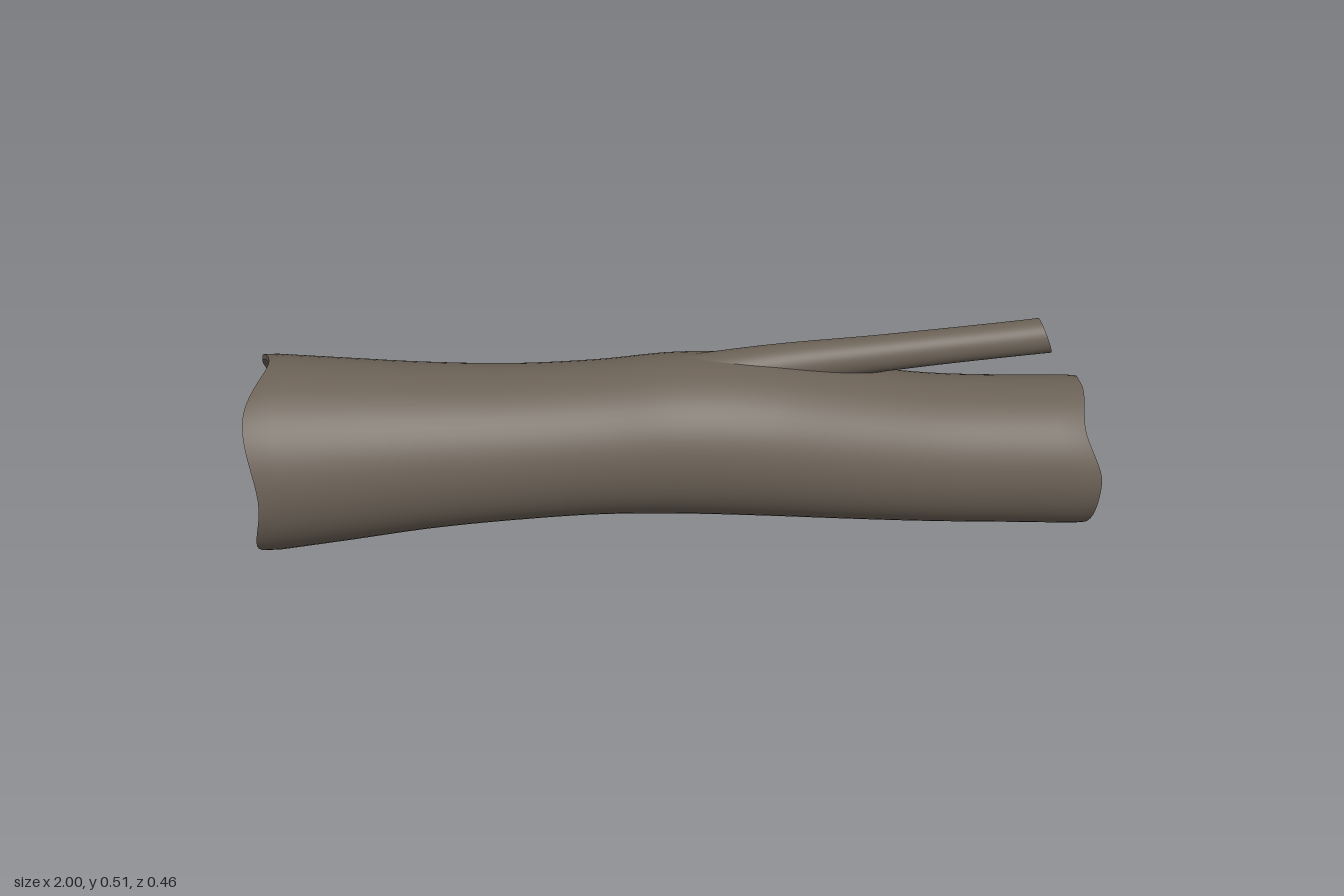
import * as THREE from 'three';

const SIDES = 64;
const bark = new THREE.MeshStandardMaterial({ color: 0x6b6156 });

// Lofted surface: point(i, a) gives ring i at angle a, measured from +y towards +z
function loft(name, rows, point, inward = false) {
  const pos = [], index = [];
  for (let i = 0; i <= rows; i++) {
    for (let j = 0; j < SIDES; j++) pos.push(...point(i, (j / SIDES) * Math.PI * 2));
  }
  for (let i = 0; i < rows; i++) {
    for (let j = 0; j < SIDES; j++) {
      const k = (j + 1) % SIDES;
      const a = i * SIDES + j, b = i * SIDES + k, c = a + SIDES, d = b + SIDES;
      if (inward) index.push(a, c, b, b, c, d);
      else index.push(a, b, c, b, d, c);
    }
  }
  const geo = new THREE.BufferGeometry();
  geo.setAttribute('position', new THREE.Float32BufferAttribute(pos, 3));
  geo.setIndex(index);
  geo.computeVertexNormals();
  const mesh = new THREE.Mesh(geo, bark);
  mesh.name = name;
  return mesh;
}

const ring = (x, y, z, r, a) => [x, y + r * Math.cos(a), z + r * Math.sin(a)];

// Log outline: top and bottom height every 0.2 from x = -1 to x = 1
const top = [0.485, 0.468, 0.452, 0.443, 0.447, 0.46, 0.448, 0.415, 0.386, 0.373, 0.367];
const bottom = [0.012, 0.033, 0.055, 0.068, 0.075, 0.07, 0.056, 0.038, 0.022, 0.011, 0];
const outline = new THREE.CatmullRomCurve3(
  top.map((t, i) => new THREE.Vector3(i * 0.2 - 1, (t + bottom[i]) / 2, (t - bottom[i]) / 2)),
  false, 'catmullrom'
);
function section(x) {
  const p = outline.getPoint(THREE.MathUtils.clamp((x + 1) / 2, 0, 1));
  return { y: p.y, r: p.z };
}

// Ragged broken ends: x of the rim at eight angles, eased in between
const leftRim = [-0.955, -0.995, -0.97, -1, -0.915, -0.99, -0.97, -1];
const rightRim = [0.965, 0.945, 0.985, 0.985, 1, 0.985, 1, 0.985];
function rimX(rim, a) {
  const t = (a / (Math.PI * 2)) * 8, i = Math.floor(t) % 8;
  return THREE.MathUtils.lerp(rim[i], rim[(i + 1) % 8], THREE.MathUtils.smoothstep(t - Math.floor(t), 0, 1));
}

export function createModel() {
  const model = new THREE.Group();
  model.name = 'hollowLog';

  // Trunk surface
  const rows = 60;
  model.add(loft('trunk', rows, (i, a) => {
    const x = THREE.MathUtils.lerp(rimX(leftRim, a), rimX(rightRim, a), i / rows);
    const s = section(x);
    const round = i === 0 || i === rows ? 0.003 : 0;
    return ring(x, s.y, 0, s.r - round, a);
  }));

  // Each end: thin rim, tapering hollow and the flat wall that closes it
  const ends = [
    { side: 'left', rim: leftRim, x: -0.78, y: 0.25, r: 0.19 },
    { side: 'right', rim: rightRim, x: 0.78, y: 0.172, r: 0.148 },
  ];
  for (const e of ends) {
    const isLeft = e.side === 'left';
    const lip = (a, inset) => {
      const x = rimX(e.rim, a), s = section(x);
      return ring(x, s.y, 0, s.r - inset, a);
    };
    model.add(loft(e.side + 'Rim', 1, (i, a) => lip(a, i ? 0.015 : 0.003), isLeft));

    const depth = 10;
    model.add(loft(e.side + 'Hollow', depth, (i, a) => {
      const p = lip(a, 0.015), q = ring(e.x, e.y, 0, e.r, a);
      return p.map((v, k) => THREE.MathUtils.lerp(v, q[k], i / depth));
    }, isLeft));

    const wall = new THREE.Mesh(new THREE.CircleGeometry(e.r, SIDES), bark);
    wall.name = e.side + 'HollowEnd';
    wall.rotation.y = isLeft ? -Math.PI / 2 : Math.PI / 2;
    wall.position.set(e.x, e.y, 0);
    model.add(wall);
  }

  // Branch: rises slowly from the trunk, its tip cut at a slant
  const path = new THREE.CatmullRomCurve3([[0, 0.39, -0.012], [0.22, 0.424, -0.023],
    [0.5, 0.445, -0.037], [0.88, 0.469, -0.055]].map((p) => new THREE.Vector3(...p)));
  const steps = 24;
  const branchPoint = (t, a, scale = 1) => {
    const p = path.getPoint(t);
    const r = (0.035 + 0.033 * (1 - t) ** 2 + 0.007 * t) * scale;
    return ring(p.x - 0.4 * r * t * Math.cos(a), p.y, p.z, r, a);
  };
  model.add(loft('branch', steps, (i, a) => branchPoint(i / steps, a)));
  model.add(loft('branchTip', 1, (i, a) => branchPoint(1, a, 1 - i)));

  return model;
}
